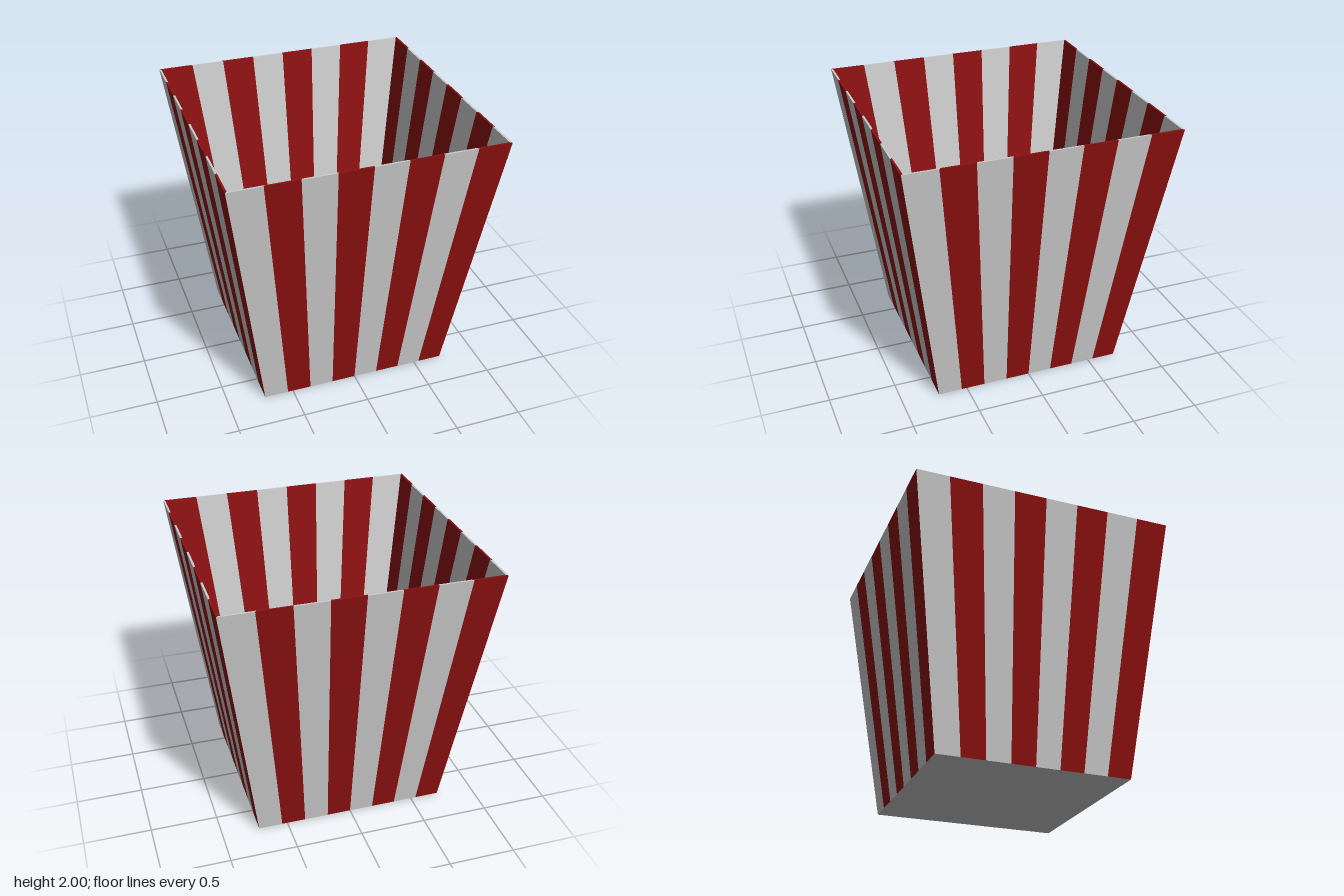
import * as THREE from 'three';

const TOP = 1, BASE = 0.72, HEIGHT = 2, WALL = 0.015, STRIPES = 8;

// Wall section as [half-width, height]: up the outside, over the rim, down the inside
const SECTION = [[BASE, 0], [TOP, HEIGHT], [TOP - WALL, HEIGHT], [BASE - WALL, 0]];

// One tapered stripe between u0 and u1 (-1..1 across the wall), mitred at the corners
function stripeGeometry(u0, u1) {
  const positions = [];
  for (let i = 0; i < SECTION.length - 1; i++) {
    const [h0, y0] = SECTION[i], [h1, y1] = SECTION[i + 1];
    const a = [u0 * h0, y0, h0], b = [u1 * h0, y0, h0];
    const c = [u1 * h1, y1, h1], d = [u0 * h1, y1, h1];
    positions.push(...a, ...b, ...c, ...a, ...c, ...d);
  }
  const geometry = new THREE.BufferGeometry();
  geometry.setAttribute('position', new THREE.Float32BufferAttribute(positions, 3));
  geometry.computeVertexNormals();
  return geometry;
}

export function createModel() {
  const model = new THREE.Group();
  model.name = 'stripedBucket';
  const grey = new THREE.MeshStandardMaterial({ color: 0xcccccc });
  const red = new THREE.MeshStandardMaterial({ color: 0x8c1010 });

  // Stripes of one wall, shared by all four
  const stripes = Array.from({ length: STRIPES }, (_, i) =>
    stripeGeometry(-1 + (2 * i) / STRIPES, -1 + (2 * (i + 1)) / STRIPES));

  // Four walls, each turned a quarter from the last
  ['frontWall', 'leftWall', 'backWall', 'rightWall'].forEach((name, side) => {
    const wall = new THREE.Group();
    wall.name = name;
    stripes.forEach((geometry, i) => {
      const mesh = new THREE.Mesh(geometry, i % 2 ? red : grey);
      mesh.name = i % 2 ? 'redStripe' : 'greyStripe';
      wall.add(mesh);
    });
    wall.rotation.y = (side * Math.PI) / 2;
    model.add(wall);
  });

  // Thin floor slab, closing the walls at the bottom
  const floor = new THREE.Mesh(new THREE.BoxGeometry(2 * BASE, 0.01, 2 * BASE), grey);
  floor.name = 'floor';
  floor.position.y = 0.005;
  model.add(floor);

  return model;
}
